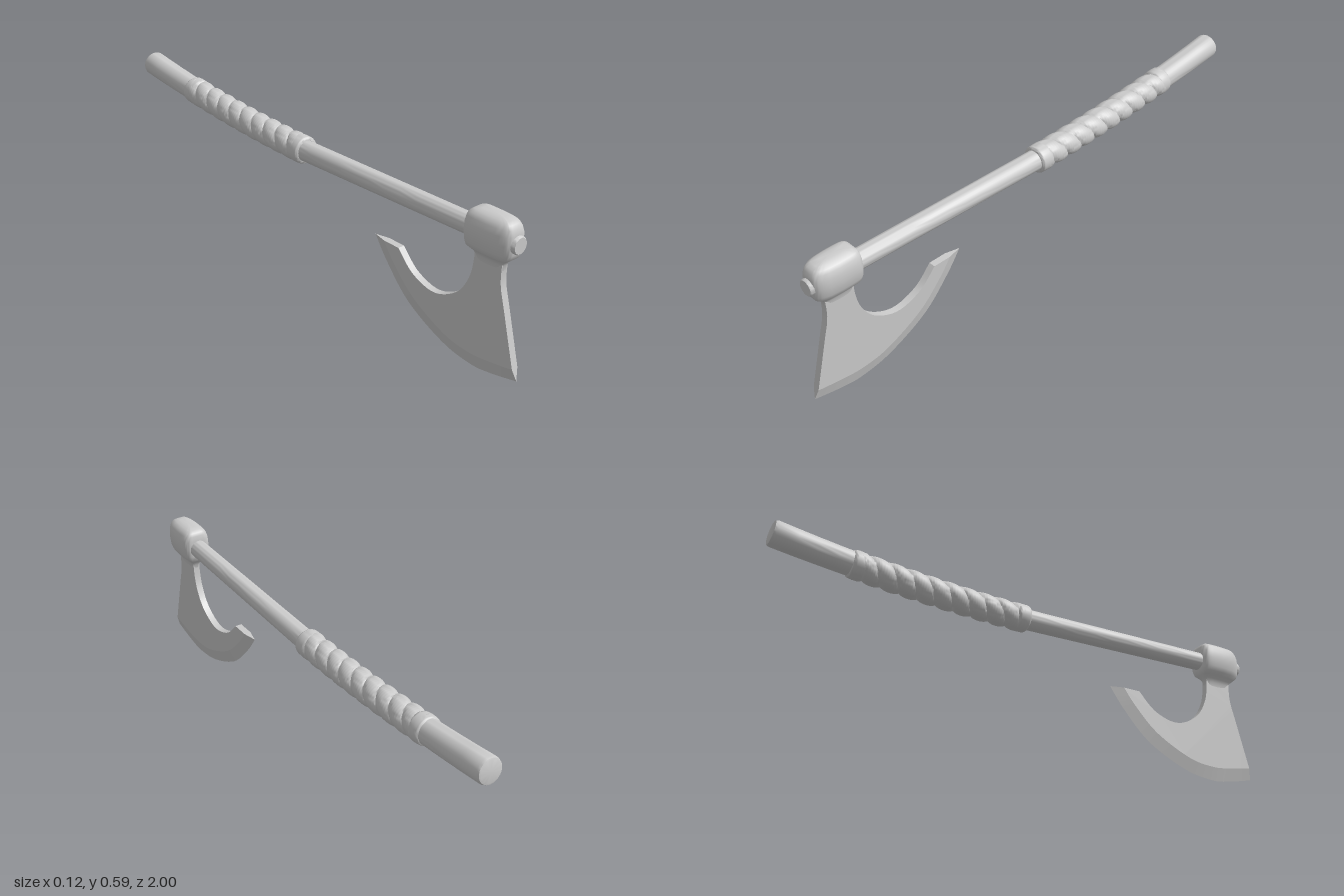
import * as THREE from 'three';
import { toCreasedNormals } from 'three/addons/utils/BufferGeometryUtils.js';

const material = new THREE.MeshStandardMaterial({ color: 0xcccccc });

function part(name, geometry, crease = 0.7) {
  const mesh = new THREE.Mesh(toCreasedNormals(geometry, crease), material);
  mesh.name = name;
  return mesh;
}

// Skin a grid of closed rings; point(i, j) returns [x, y, z]
function loft(rings, sides, point) {
  const pos = [], index = [];
  for (let i = 0; i < rings; i++) {
    for (let j = 0; j < sides; j++) {
      pos.push(...point(i, j));
      if (i === rings - 1) continue;
      const a = i * sides + j, b = i * sides + (j + 1) % sides;
      index.push(a, a + sides, b, b, a + sides, b + sides);
    }
  }
  const g = new THREE.BufferGeometry();
  g.setAttribute('position', new THREE.Float32BufferAttribute(pos, 3));
  g.setIndex(index);
  return g;
}

// Gently bent centre line of the handle, and a point around it
const centreY = z => 0.478 + (z > 0 ? 0.022 * z : 0.072 * z * z);
const slope = z => (z > 0 ? 0.022 : 0.144 * z);
function around(z, r, a) {
  const s = slope(z), n = Math.hypot(1, s);
  return [r * Math.cos(a), centreY(z) + r * Math.sin(a) / n, z - r * Math.sin(a) * s / n];
}

// Round part following the centre line; profile is a list of [z, radius]
function bentLathe(profile, sides = 32) {
  return loft(profile.length, sides, (i, j) => around(...profile[i], j / sides * Math.PI * 2));
}

function makeHandle() {
  const profile = [[0.97, 0], [0.97, 0.027], [0.966, 0.03], [0.9, 0.032], [0.78, 0.035]];
  for (let i = 1; i <= 24; i++) {
    const z = 0.78 - i / 24 * 1.762;
    profile.push([z, z > 0 ? 0.038 - 0.0038 * z : 0.038 - 0.0095 * z]);
  }
  profile.push([-0.991, 0.044], [-0.993, 0.038], [-0.993, 0]);
  return part('handle', bentLathe(profile));
}

// Two cords wound side by side around the grip
function makeWrap() {
  const rings = 190, sides = 36, start = -0.045, end = -0.69;
  return part('gripWrap', loft(rings, sides, (i, j) => {
    const z = start + (end - start) * i / (rings - 1), a = j / sides * Math.PI * 2;
    const bump = Math.sqrt(Math.abs(Math.sin(Math.PI * (z / 0.07 - a / Math.PI))));
    return around(z, 0.0415 + 0.0105 * bump, a);
  }), 0.9);
}

function makeCollar(name, z0, z1) {
  const profile = [];
  for (let i = 0; i <= 12; i++) {
    const t = i / 12 * Math.PI, c = Math.cos(t);
    profile.push([(z0 + z1) / 2 + (z0 - z1) / 2 * Math.sign(c) * Math.sqrt(Math.abs(c)),
      0.039 + 0.0125 * Math.sqrt(Math.max(0, Math.sin(t)))]);
  }
  return part(name, bentLathe(profile), 1);
}

// Socket: rounded-box sections stacked upwards, narrower towards the front
function makeSocket() {
  // y, half width, back z, front z
  const levels = [
    [0.395, 0.013, 0.805, 0.917], [0.412, 0.015, 0.803, 0.918], [0.425, 0.022, 0.797, 0.924],
    [0.436, 0.034, 0.787, 0.938], [0.447, 0.046, 0.78, 0.951], [0.465, 0.053, 0.777, 0.957],
    [0.5, 0.058, 0.776, 0.959], [0.53, 0.056, 0.777, 0.958], [0.55, 0.05, 0.78, 0.953],
    [0.562, 0.042, 0.785, 0.944], [0.57, 0.03, 0.797, 0.93], [0.574, 0.015, 0.82, 0.905],
    [0.574, 0, 0.862, 0.862],
  ];
  const sides = 40;
  const round = v => Math.sign(v) * Math.pow(Math.abs(v), 0.4);
  return part('socket', loft(levels.length, sides, (i, j) => {
    const [y, w, back, front] = levels[i], a = j / sides * Math.PI * 2;
    const c = round(Math.cos(a)), s = round(Math.sin(a));
    const taper = s > 0 ? 1 - 0.28 * s * s * Math.min(1, w / 0.05) : 1;
    return [w * c * taper, y, (back + front) / 2 + (front - back) / 2 * s];
  }), 0.9);
}

// Blade curves as [z, y] points
const curve = (points, n) =>
  new THREE.SplineCurve(points.map(p => new THREE.Vector2(...p))).getPoints(n);
const N = 36, HALF = 0.013;
const cuttingEdge = curve([[1, 0.033], [0.89, 0.008], [0.805, 0], [0.68, 0.022],
  [0.52, 0.1], [0.41, 0.21], [0.35, 0.292]], N);
const bevelLine = curve([[0.989, 0.076], [0.89, 0.058], [0.805, 0.05], [0.695, 0.067],
  [0.55, 0.138], [0.455, 0.228], [0.405, 0.293]], N);

function makeBlade() {
  const beard = curve([[0.475, 0.293], [0.545, 0.226], [0.645, 0.199], [0.74, 0.243],
    [0.79, 0.32], [0.805, 0.4], [0.8, 0.43]], 32);
  const front = curve([[0.917, 0.43], [0.917, 0.35], [0.94, 0.26], [0.989, 0.076]], 16);
  const shape = new THREE.Shape([...bevelLine, ...beard, ...front.slice(0, -1)]);
  const g = new THREE.ExtrudeGeometry(shape, { depth: 2 * HALF, bevelEnabled: false });
  g.translate(0, 0, -HALF).rotateY(-Math.PI / 2);
  return part('blade', g, 0.6);
}

// Wedge running from the flat of the blade down to the sharp edge
function makeEdge() {
  const section = i => {
    const b = bevelLine[i], e = cuttingEdge[i];
    return [[HALF, b.y, b.x], [0, e.y, e.x], [-HALF, b.y, b.x]];
  };
  const g = loft(N + 1, 3, (i, j) => section(i)[j]);
  const last = N * 3;
  g.setIndex([...g.index.array, 0, 1, 2, last, last + 2, last + 1]);
  // Keep the winding outward whichever way the sections run
  const p = g.attributes.position, idx = g.index.array;
  const v = k => new THREE.Vector3().fromBufferAttribute(p, idx[k]);
  const normal = v(1).sub(v(0)).cross(v(2).sub(v(0)));
  if (normal.x < 0) {
    for (let k = 0; k < idx.length; k += 3) [idx[k + 1], idx[k + 2]] = [idx[k + 2], idx[k + 1]];
  }
  return part('cuttingEdge', g, 0.2);
}

export function createModel() {
  const axe = new THREE.Group();
  axe.name = 'axe';
  const head = new THREE.Group();
  head.name = 'head';
  head.add(makeSocket(), makeBlade(), makeEdge());
  axe.add(head, makeHandle(), makeWrap(),
    makeCollar('frontCollar', -0.015, -0.07), makeCollar('rearCollar', -0.655, -0.71));
  return axe;
}
